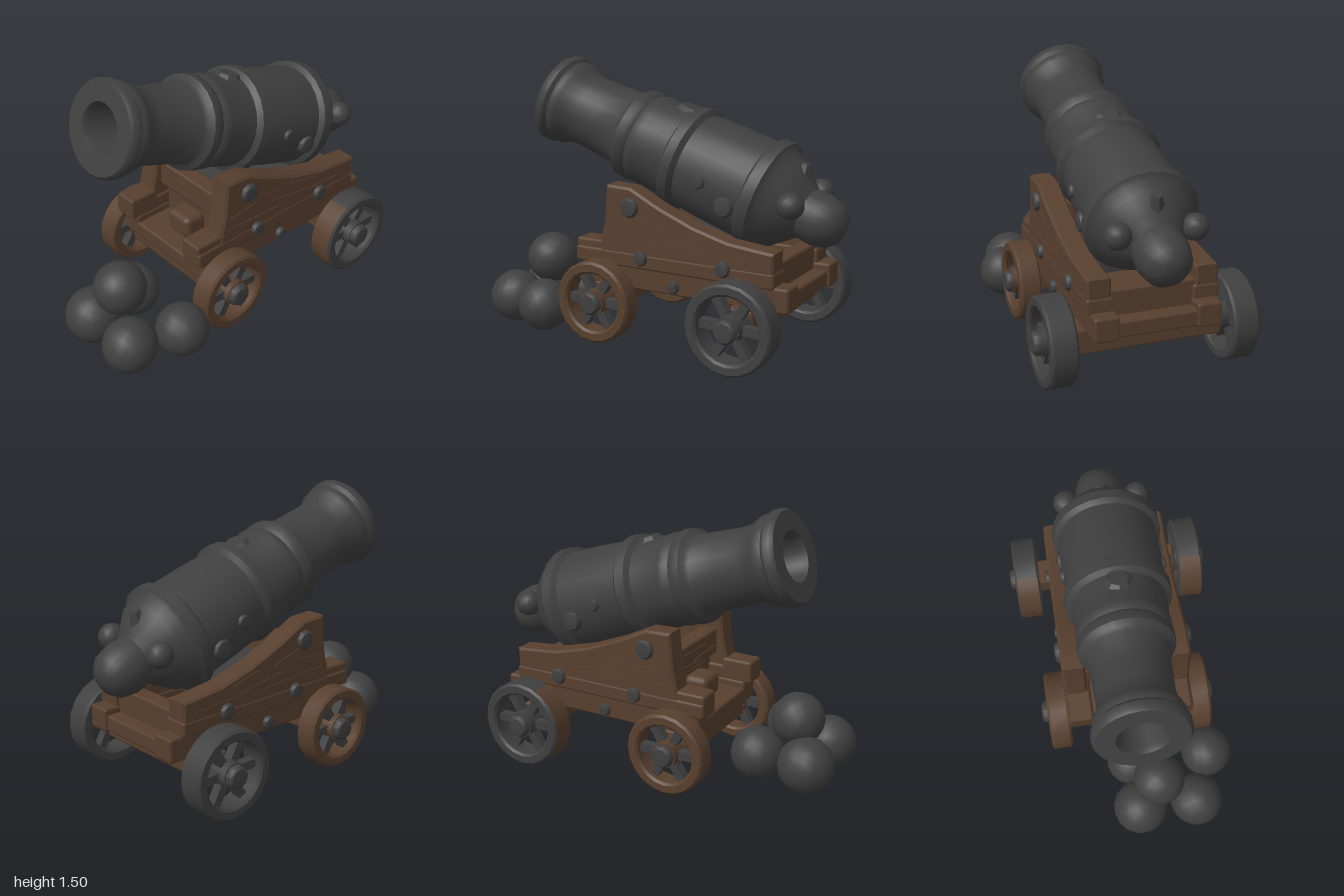
import * as THREE from 'three';
import { toCreasedNormals } from 'three/addons/utils/BufferGeometryUtils.js';
import { RoundedBoxGeometry } from 'three/addons/geometries/RoundedBoxGeometry.js';

const mat = (name, color) => {
  const m = new THREE.MeshStandardMaterial({ color });
  m.name = name;
  return m;
};

export function createModel() {
  const iron = mat('iron', 0x3f3f3f);
  const wood = mat('wood', 0x573f2e);
  const model = new THREE.Group();
  model.name = 'cannon';

  const add = (parent, name, geo, material, x = 0, y = 0, z = 0) => {
    const m = new THREE.Mesh(geo, material);
    m.name = name;
    m.position.set(x, y, z);
    parent.add(m);
    return m;
  };
  const plank = (w, h, d) => new RoundedBoxGeometry(w, h, d, 1, 0.015);
  // domed bolt with its head pointing along +x or -x
  const bolt = (parent, name, r, len, x, y, z) => {
    const pts = [[r, -len / 2], [r, len * 0.1], [r * 0.8, len * 0.4], [0, len / 2]];
    const g = new THREE.LatheGeometry(pts.map(([a, b]) => new THREE.Vector2(a, b)), 9);
    g.rotateZ(x > 0 ? -Math.PI / 2 : Math.PI / 2);
    return add(parent, name, toCreasedNormals(g, 0.7), iron, x, y, z);
  };

  // ---- barrel: local y runs from muzzle to breech, local z is up
  const barrel = new THREE.Group();
  barrel.name = 'barrel';
  barrel.position.set(0, 1.27, 0.735);
  barrel.rotation.x = -Math.PI / 2 - 18.5 * Math.PI / 180;
  model.add(barrel);
  const profile = [
    [0, 0.42], [0.11, 0.42], [0.12, 0.03], [0.135, 0], [0.235, 0], [0.25, 0.02], [0.25, 0.055],
    [0.232, 0.075], [0.238, 0.1], [0.23, 0.13], [0.206, 0.17], [0.199, 0.24], [0.204, 0.35],
    [0.213, 0.5], [0.228, 0.52], [0.252, 0.54], [0.256, 0.585], [0.24, 0.61], [0.252, 0.635],
    [0.252, 0.665], [0.246, 0.69], [0.255, 0.84], [0.284, 0.86], [0.289, 0.915], [0.264, 0.94],
    [0.272, 1.1], [0.274, 1.32], [0.3, 1.34], [0.3, 1.4], [0.268, 1.42], [0.25, 1.47],
    [0.18, 1.55], [0.135, 1.6], [0.14, 1.68], [0.12, 1.76], [0.075, 1.805], [0, 1.825],
  ].map(([r, s]) => new THREE.Vector2(r, s));
  add(barrel, 'barrelBody', toCreasedNormals(new THREE.LatheGeometry(profile, 24), 0.7), iron);
  for (const s of [-1, 1]) {
    bolt(barrel, 'barrelRivet', 0.037, 0.04, s * 0.27, 1.09, 0);
    bolt(barrel, 'trunnion', 0.058, 0.08, s * 0.255, 1.26, -0.065);
    add(barrel, 'breechLug', new THREE.SphereGeometry(0.07, 12, 9), iron, s * 0.2, 1.57, 0.07);
  }
  const vent = new THREE.CylinderGeometry(0.055, 0.08, 0.03, 8).rotateX(Math.PI / 2);
  add(barrel, 'ventPlate', toCreasedNormals(vent, 0.5), iron, 0, 0.8, 0.25);
  const sight = new THREE.CylinderGeometry(0.025, 0.07, 0.12, 6).rotateX(Math.PI / 2);
  add(barrel, 'rearSight', toCreasedNormals(sight, 0.5), iron, 0, 1.51, 0.18);

  // ---- carriage cheeks, outlined in (z, y)
  const cheekShape = new THREE.Shape([
    [0.25, 0.47], [0.24, 0.57], [0.215, 0.68], [0.2, 0.86], [0.07, 0.855], [-0.1, 0.77],
    [-0.3, 0.69], [-0.5, 0.635], [-0.745, 0.61], [-0.74, 0.47],
  ].map(([z, y]) => new THREE.Vector2(z, y)));
  const cheekGeo = toCreasedNormals(new THREE.ExtrudeGeometry(cheekShape, {
    depth: 0.1, bevelEnabled: true, bevelSize: 0.012, bevelThickness: 0.012, bevelSegments: 1,
  }).translate(0, 0, -0.05).rotateY(-Math.PI / 2), 0.5);

  const carriage = new THREE.Group();
  carriage.name = 'carriage';
  model.add(carriage);
  for (const s of [-1, 1]) {
    add(carriage, 'cheek', cheekGeo, wood, s * 0.284, 0, 0);
    add(carriage, 'middleRail', plank(0.14, 0.085, 1.17), wood, s * 0.28, 0.48, -0.175);
    add(carriage, 'frontStep', plank(0.13, 0.07, 0.18), wood, s * 0.275, 0.53, 0.32);
    add(carriage, 'lowerRail', plank(0.13, 0.13, 1.21), wood, s * 0.27, 0.385, -0.23);
    // raised grain: z, y, length, tilt
    for (const [z, y, len, tilt] of [
      [0.1, 0.66, 0.2, -0.1], [-0.05, 0.7, 0.22, 0.28], [-0.25, 0.6, 0.3, 0.15], [-0.1, 0.57, 0.24, 0.05],
      [-0.55, 0.56, 0.26, 0.06], [-0.35, 0.65, 0.18, 0.25], [0.12, 0.58, 0.16, 0.04],
    ]) {
      add(carriage, 'woodGrain', new THREE.BoxGeometry(0.008, 0.012, len), wood, s * 0.346, y, z).rotation.x = -tilt;
    }
    for (const [z, y, r] of [[0.065, 0.765, 0.055], [0, 0.5, 0.042], [-0.48, 0.51, 0.045], [-0.19, 0.37, 0.035]]) {
      bolt(carriage, 'cheekBolt', r, 0.05, s * (y < 0.4 ? 0.34 : 0.35), y, z);
    }
  }

  // floor, cross beams and stop block
  add(carriage, 'floor', plank(0.5, 0.09, 1.15), wood, 0, 0.365, -0.2);
  add(carriage, 'frontTransom', plank(0.48, 0.15, 0.1), wood, 0, 0.655, 0.14);
  add(carriage, 'lowerTransom', plank(0.48, 0.16, 0.1), wood, 0, 0.48, 0.1);
  add(carriage, 'bedPlate', new THREE.BoxGeometry(0.44, 0.06, 0.6), iron, 0, 0.57, -0.2);
  add(carriage, 'rearTransom', plank(0.5, 0.15, 0.1), wood, 0, 0.475, -0.69);
  add(carriage, 'rearSill', plank(0.5, 0.09, 0.1), wood, 0, 0.37, -0.77);
  add(carriage, 'stopBlock', new RoundedBoxGeometry(0.17, 0.13, 0.14, 2, 0.035), wood, 0.015, 0.475, 0.21);
  for (const [x, y, len] of [[-0.05, 0.68, 0.28], [0.08, 0.63, 0.24], [-0.08, 0.61, 0.18]]) {
    add(carriage, 'transomGrain', new THREE.BoxGeometry(len, 0.012, 0.008), wood, x, y, 0.191).rotation.z = x * 0.5;
  }

  // ---- wheels and axles
  const wheel = (name, r, width, rimMat, x, y, z) => {
    const g = new THREE.Group();
    g.name = name;
    g.position.set(x, y, z);
    model.add(g);
    const b = 0.012;
    const ring = new THREE.Shape().absarc(0, 0, r - b, 0, Math.PI * 2);
    ring.holes.push(new THREE.Path().absarc(0, 0, r - 0.062 + b, 0, Math.PI * 2, true));
    const rim = new THREE.ExtrudeGeometry(ring, {
      depth: width - 2 * b, curveSegments: 10, bevelEnabled: true, bevelSize: b, bevelThickness: b, bevelSegments: 1,
    }).translate(0, 0, b - width / 2).rotateY(Math.PI / 2);
    add(g, 'rim', toCreasedNormals(rim, 0.6), rimMat);
    for (let i = 0; i < 6; i++) {
      const a = i * Math.PI / 3 + 0.5;
      const d = r * 0.48;
      const spoke = add(g, 'spoke', new THREE.BoxGeometry(0.05, r - 0.04, 0.046), iron, 0, Math.cos(a) * d, Math.sin(a) * d);
      spoke.rotation.x = a;
    }
    const s = Math.sign(x);
    const hub = new THREE.CylinderGeometry(0.07, 0.075, width * 0.95, 10).rotateZ(-s * Math.PI / 2);
    add(g, 'hub', toCreasedNormals(hub, 0.7), rimMat);
    bolt(g, 'hubCap', 0.063, 0.05, s * (width / 2 + 0.014), 0, 0);
    return g;
  };
  for (const s of [-1, 1]) {
    wheel('frontWheel', 0.222, 0.12, wood, s * 0.4, 0.25, 0.24);
    const rear = wheel('rearWheel', 0.236, 0.14, iron, s * 0.48, 0.265, -0.605);
    // worn wooden strip around the front of the tread
    const strip = new THREE.CylinderGeometry(0.239, 0.239, 0.12, 12, 1, true, -1.25, 2.4).rotateZ(Math.PI / 2);
    add(rear, 'wornTread', strip, wood);
  }
  for (const [name, z, half] of [['front', 0.24, 0.34], ['rear', -0.605, 0.41]]) {
    add(model, name + 'AxleBeam', plank(half * 2, 0.14, 0.15), wood, 0, 0.265, z);
    const rod = new THREE.CylinderGeometry(0.045, 0.045, half * 2 + 0.14, 10).rotateZ(Math.PI / 2);
    add(model, name + 'Axle', rod, iron, 0, 0.26, z);
  }

  // ---- stacked shot: four on the ground, one on top
  const balls = new THREE.Group();
  balls.name = 'cannonballs';
  model.add(balls);
  for (const [x, y, z, r] of [
    [-0.01, 0.15, 0.845, 0.153], [0.105, 0.352, 0.745, 0.143], [0.31, 0.16, 0.85, 0.147],
    [0.41, 0.175, 0.585, 0.143], [-0.02, 0.165, 0.57, 0.145],
  ]) {
    const ball = add(balls, 'cannonball', new THREE.SphereGeometry(r, 16, 12), iron, x, y, z);
    ball.rotation.set(x * 5, z * 3, 0.4);
  }
  return model;
}
